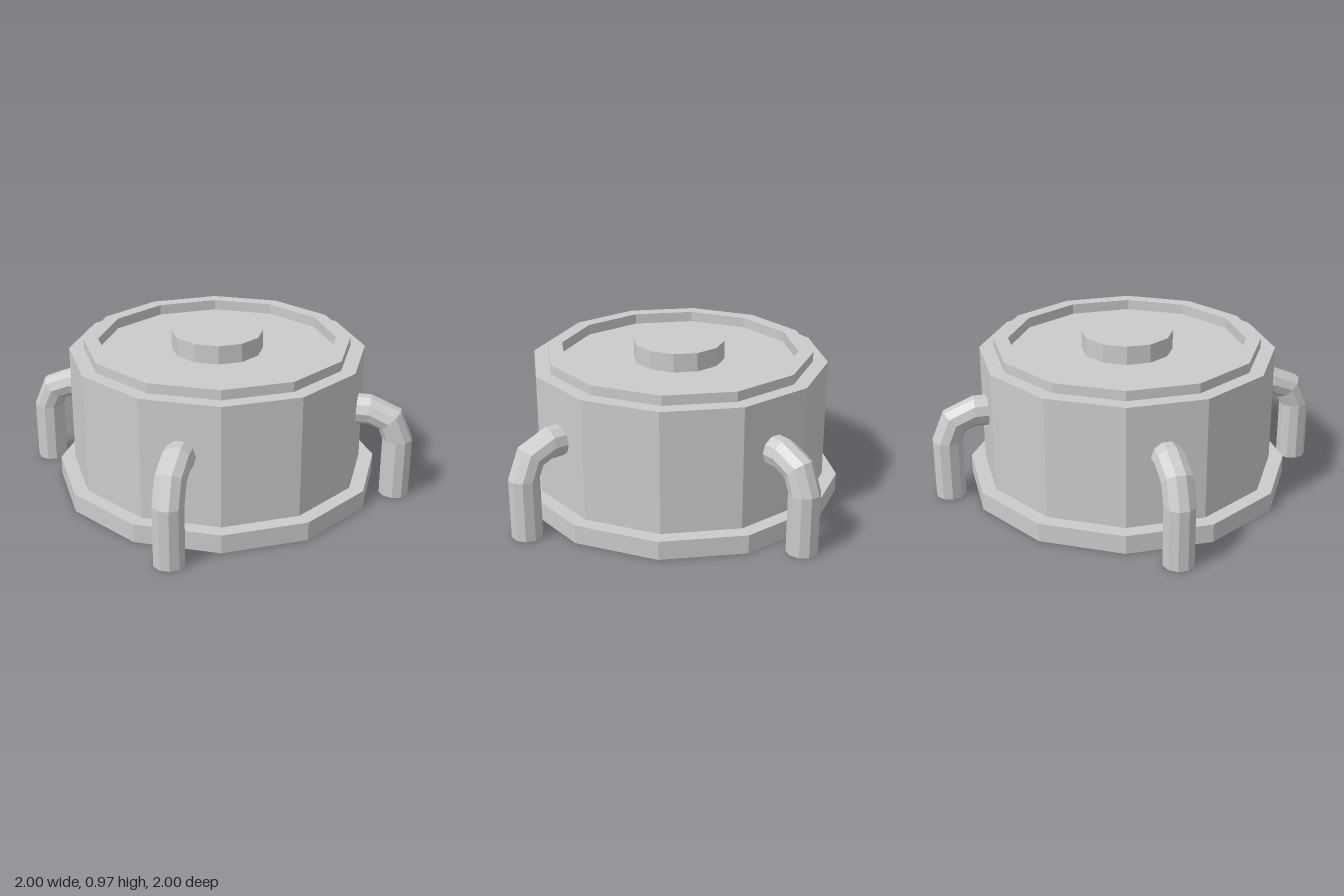
import * as THREE from 'three';

const material = new THREE.MeshStandardMaterial({
  color: 0xcccccc, flatShading: true, side: THREE.DoubleSide,
});

// Thin twelve-sided shell turned from [radius, height] points
function shell(name, profile) {
  const points = profile.map(([r, y]) => new THREE.Vector2(r, y));
  const mesh = new THREE.Mesh(new THREE.LatheGeometry(points, 12), material);
  mesh.name = name;
  return mesh;
}

// Open ten-sided pipe: straight leg, two-step elbow, then inward through the wall
function pipeGeometry() {
  const rows = [ // radius from the axis, height, tilt of the ring
    [1.13, 0, 0],
    [1.13, 0.37, 0],
    [1.08, 0.49, Math.PI / 4],
    [0.96, 0.54, Math.PI / 2],
    [0.72, 0.54, Math.PI / 2],
  ];
  const geometry = new THREE.CylinderGeometry(0.093, 0.093, 4, 10, 4, true);
  const pos = geometry.attributes.position;
  for (let i = 0; i < pos.count; i++) {
    const [cx, cy, tilt] = rows[Math.round(pos.getY(i) + 2)];
    const x = pos.getX(i);
    pos.setXY(i, cx + x * Math.cos(tilt), cy + x * Math.sin(tilt));
  }
  geometry.computeVertexNormals();
  return geometry;
}

export function createModel() {
  const model = new THREE.Group();
  model.name = 'pipedDrum';

  // Hollow drum, open underneath
  model.add(
    shell('baseFlange', [[1, 0], [1, 0.115], [0.91, 0.115]]),
    shell('drumWall', [[0.91, 0.115], [0.91, 0.86], [0.82, 0.86]]),
    shell('lidRim', [[0.82, 0.86], [0.82, 0.92], [0.73, 0.92], [0.73, 0.855]]),
    shell('lidFloor', [[0.73, 0.855], [0.28, 0.855]]),
    shell('centreCap', [[0.28, 0.855], [0.28, 0.97], [0, 0.97]]),
  );

  // Four pipes on the diagonals
  const geometry = pipeGeometry();
  for (let i = 0; i < 4; i++) {
    const pipe = new THREE.Mesh(geometry, material);
    pipe.name = `elbowPipe${i + 1}`;
    pipe.rotation.y = Math.PI / 4 + i * Math.PI / 2;
    model.add(pipe);
  }
  return model;
}
